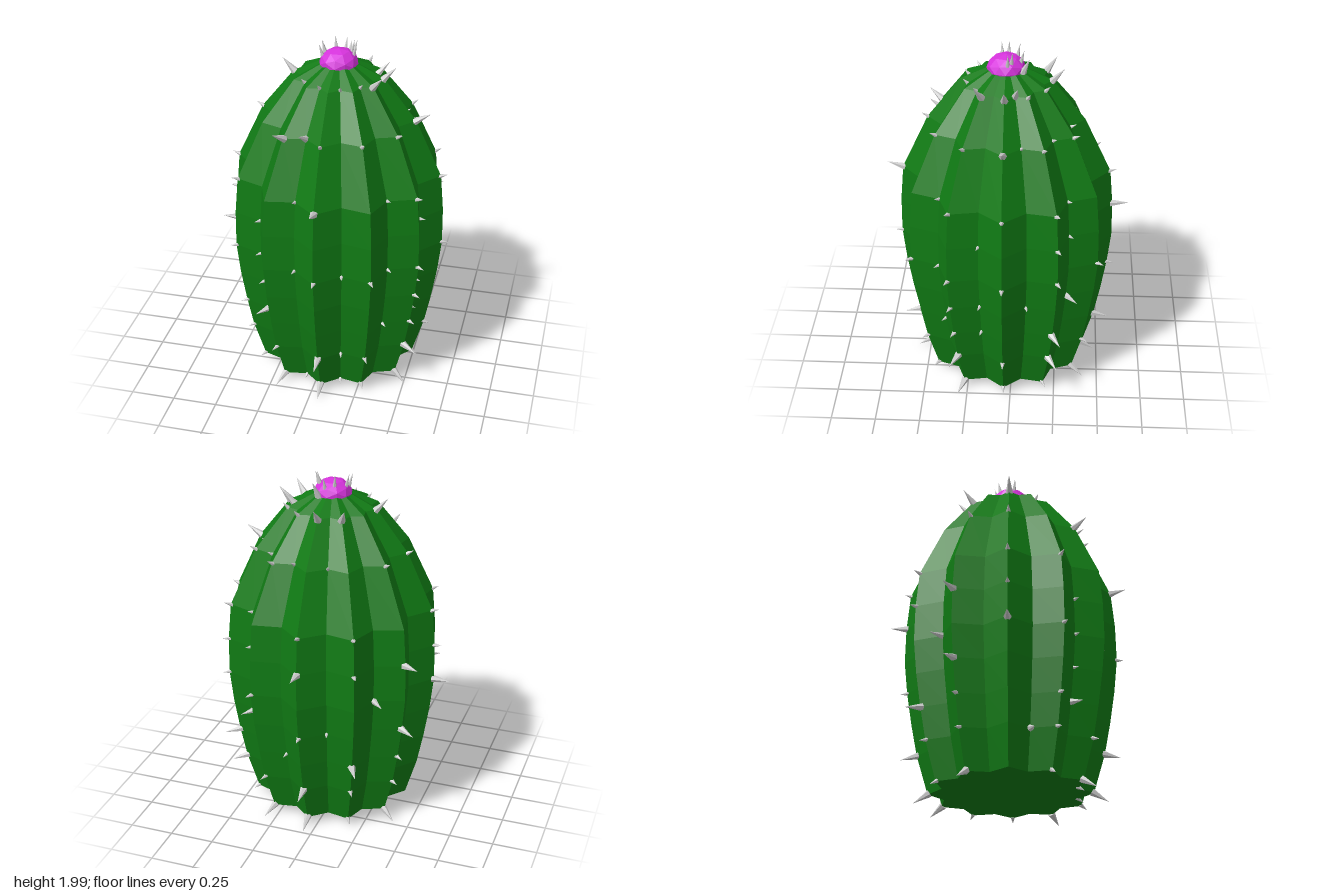
import * as THREE from 'three';

const CX = 0.05, CZ = 0.04, COLUMNS = 24, VALLEY = 0.845;

// Height and ridge radius of each ring of the body
const RINGS = [
  [0.06, 0.45], [0.28, 0.515], [0.46, 0.55], [0.65, 0.58], [0.84, 0.6],
  [1.05, 0.597], [1.26, 0.578], [1.58, 0.43], [1.81, 0.25], [1.88, 0.105],
];

// Columns (0 = +x, 6 = +z, even = ridge, odd = valley) carrying spikes, per ring
const SPIKES = [
  { big: [2, 6, 8, 14, 18, 20], small: [0, 4, 5, 7, 10, 16, 22] },
  { big: [2, 6, 11, 18, 22], small: [0, 4, 5, 8, 10, 14, 16, 20] },
  { big: [9, 16, 22], small: [1, 2, 3, 10, 14, 19] },
  { big: [14, 21], small: [1, 2, 9, 17, 18, 23] },
  { big: [12, 15], small: [0, 2, 3, 4, 5, 6, 7, 9, 10, 20, 22] },
  { big: [18, 14], small: [1, 9, 12, 16, 21, 22] },
  { big: [6], small: [0, 2, 3, 7, 10, 12, 16, 18, 21, 22] },
  { big: [0, 8, 7], small: [2, 4, 6, 12, 14, 17, 19, 20, 21, 22, 23] },
  { big: [2, 12, 16, 18, 23, 0], small: [3, 5, 7, 9, 20, 22] },
  { big: [20], small: [] },
];

function createBody(material) {
  const profile = [[RINGS[0][0], 0], ...RINGS, [1.88, 0]].map(([y, r]) => new THREE.Vector2(r, y));
  const geometry = new THREE.LatheGeometry(profile, COLUMNS);
  const p = geometry.attributes.position;
  // Pull every second column inwards to form the valleys
  for (let i = 0; i < p.count; i++) {
    if (Math.floor(i / profile.length) % 2 === 0) continue;
    p.setX(i, p.getX(i) * VALLEY);
    p.setZ(i, p.getZ(i) * VALLEY);
  }
  const body = new THREE.Mesh(geometry, material);
  body.name = 'ribbedBody';
  body.position.set(CX, 0, CZ);
  return body;
}

function createSpike(base, direction, length, radius, material) {
  const geometry = new THREE.ConeGeometry(radius, length, 6);
  geometry.translate(0, length / 2 - 0.012, 0);
  const spike = new THREE.Mesh(geometry, material);
  spike.name = 'spike';
  spike.position.copy(base);
  spike.quaternion.setFromUnitVectors(new THREE.Vector3(0, 1, 0), direction.clone().normalize());
  return spike;
}

// Outward slope of the profile at a ring, as [radial, vertical]
function slope(i) {
  if (i === 0) return [0.8, -0.5];
  const a = RINGS[i - 1], b = RINGS[Math.min(i + 1, RINGS.length - 1)];
  return [b[0] - a[0], a[1] - b[1]];
}

export function createModel() {
  const model = new THREE.Group();
  model.name = 'cactus';
  const green = new THREE.MeshStandardMaterial({ color: 0x107a14, flatShading: true });
  const magenta = new THREE.MeshStandardMaterial({ color: 0xd633dc, flatShading: true });
  const grey = new THREE.MeshStandardMaterial({ color: 0xcccccc, flatShading: true });

  model.add(createBody(green));

  // Flower dome on the crown
  const flower = new THREE.Mesh(new THREE.IcosahedronGeometry(1, 1), magenta);
  flower.name = 'flower';
  flower.scale.set(0.107, 0.08, 0.107);
  flower.position.set(CX, 1.88, CZ);
  model.add(flower);

  // Spikes along the ribs
  const spikes = new THREE.Group();
  spikes.name = 'spikes';
  SPIKES.forEach(({ big, small }, ring) => {
    const [y, r] = RINGS[ring], [out, up] = slope(ring);
    const place = (column, length, radius) => {
      const a = (column / COLUMNS) * Math.PI * 2, c = Math.cos(a), s = Math.sin(a);
      const rr = column % 2 ? r * VALLEY : r;
      const base = new THREE.Vector3(CX + c * rr, y, CZ + s * rr);
      spikes.add(createSpike(base, new THREE.Vector3(c * out, up, s * out), length, radius, grey));
    };
    big.forEach((column) => place(column, 0.105, 0.022));
    small.forEach((column) => place(column, 0.05, 0.014));
  });
  model.add(spikes);

  // Small spikes on the flower
  const flowerSpikes = new THREE.Group();
  flowerSpikes.name = 'flowerSpikes';
  [[-0.03, -0.06], [-0.08, -0.01], [-0.085, 0.025], [0.02, -0.08], [0.065, -0.03], [0.08, -0.01]].forEach(([x, z]) => {
    const h = 0.08 * Math.sqrt(1 - (x * x + z * z) / (0.107 * 0.107));
    const base = new THREE.Vector3(CX + x, 1.88 + h, CZ + z);
    flowerSpikes.add(createSpike(base, new THREE.Vector3(x, 0.3, z), 0.075, 0.012, grey));
  });
  model.add(flowerSpikes);

  return model;
}
